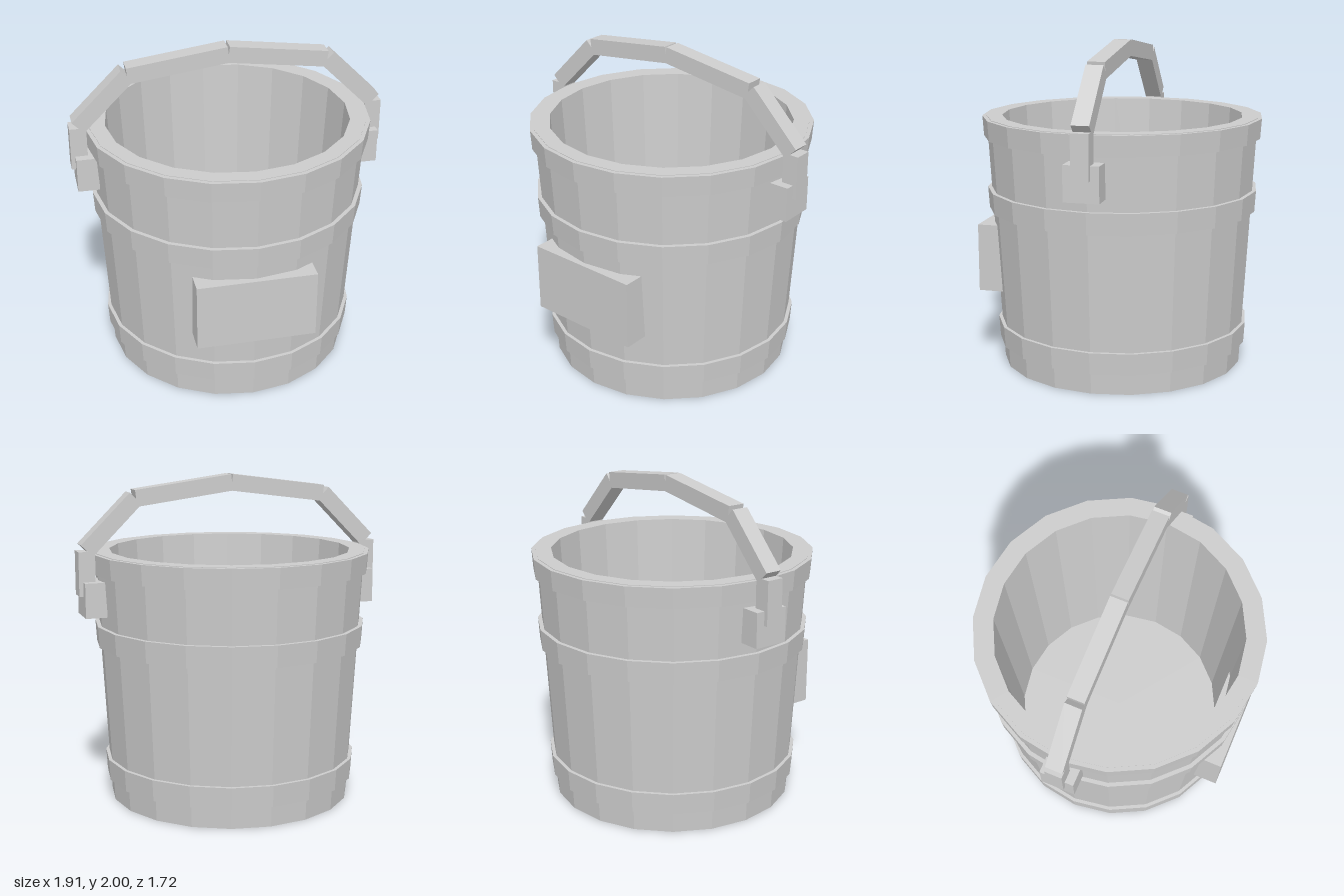
import * as THREE from 'three';

const SIDES = 20;

export function createModel() {
  const bucket = new THREE.Group();
  bucket.name = 'bucket';
  const grey = new THREE.MeshStandardMaterial({ color: 0xcccccc });
  grey.name = 'plain grey';

  const add = (name, geometry, parent = bucket) => {
    const mesh = new THREE.Mesh(geometry, grey);
    mesh.name = name;
    parent.add(mesh);
    return mesh;
  };

  // Faceted ring or vessel from a profile of [radius, height] points
  const lathe = (name, profile) => {
    const points = profile.map(([r, y]) => new THREE.Vector2(r, y));
    const geometry = new THREE.LatheGeometry(points, SIDES).toNonIndexed();
    geometry.computeVertexNormals();
    return add(name, geometry);
  };

  // Tapered tub: underside, outer wall, rim, inner wall, floor
  lathe('tub', [[0, 0], [0.75, 0], [0.836, 1.545], [0.74, 1.545], [0.665, 0.13], [0, 0.13]]);

  // Hoops around the tub, widening with the wall
  const hoops = [
    ['lowerHoop', 0.13, 0.26, 0.778, 0.786],
    ['middleHoop', 0.97, 1.1, 0.828, 0.836],
    ['rimHoop', 1.42, 1.542, 0.853, 0.861],
  ];
  for (const [name, y0, y1, r0, r1] of hoops) {
    lathe(name, [[r0 - 0.04, y0], [r0, y0], [r1, y1], [r1 - 0.04, y1]]);
  }

  // Name plate block, set through the front wall
  add('frontPlate', new THREE.BoxGeometry(0.715, 0.42, 0.175)).position.set(0, 0.665, 0.7425);

  // Handle bar between two points in the x-y plane
  const bar = (name, [x0, y0], [x1, y1], parent) => {
    const length = Math.hypot(x1 - x0, y1 - y0);
    const mesh = add(name, new THREE.BoxGeometry(length, 0.1, 0.105), parent);
    mesh.position.set((x0 + x1) / 2, (y0 + y1) / 2, 0);
    mesh.rotation.z = Math.atan2(y1 - y0, x1 - x0);
  };

  // Mirrored brackets and handle halves
  for (const [side, s] of [['left', 1], ['right', -1]]) {
    const half = new THREE.Group();
    half.name = side + 'HandleHalf';
    bucket.add(half);
    add(side + 'Bracket', new THREE.BoxGeometry(0.13, 0.21, 0.21), half).position.set(s * 0.865, 1.28, 0);
    bar(side + 'HandleUpright', [s * 0.905, 1.3], [s * 0.905, 1.565], half);
    bar(side + 'HandleSlope', [s * 0.903, 1.57], [s * 0.603, 1.87], half);
    bar(side + 'HandleTop', [s * 0.6, 1.87], [0, 1.95], half);
  }

  return bucket;
}
